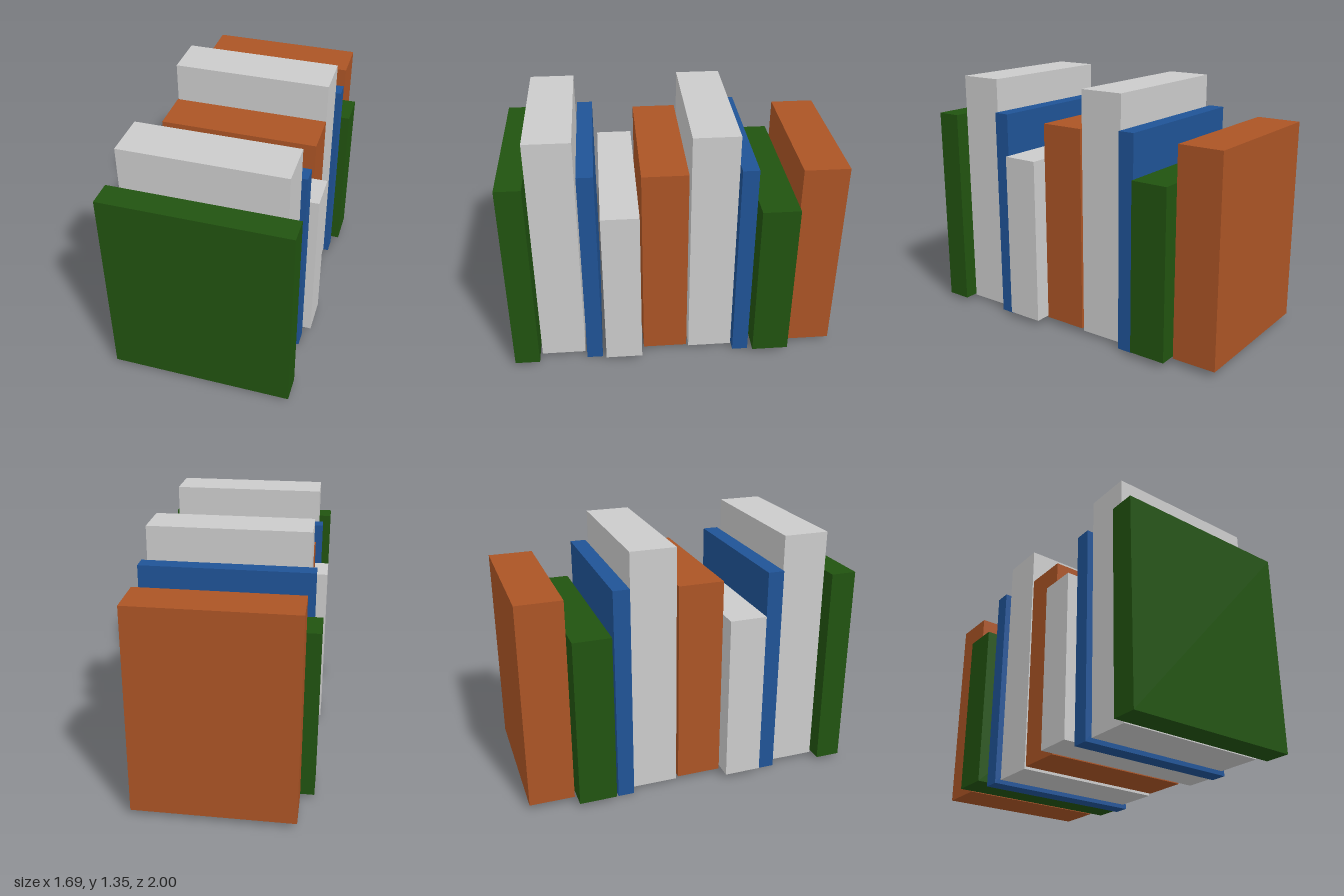
import * as THREE from 'three';

const ORANGE = 0xab5425, GREEN = 0x215310, BLUE = 0x1f5396, GREY = 0xcccccc;

// One entry per book: color, position along the row, width, thickness, bottom, top
const BOOKS = [
  [ORANGE, -0.805, 0.84, 0.24, 0.03, 1.14],
  [GREEN, -0.573, 0.985, 0.2, 0.03, 0.945],
  [BLUE, -0.409, 0.897, 0.087, 0, 1.167],
  [GREY, -0.236, 0.84, 0.242, 0.02, 1.345],
  [ORANGE, 0.018, 0.84, 0.242, 0.03, 1.14],
  [GREY, 0.253, 0.985, 0.2, 0.03, 0.945],
  [BLUE, 0.418, 0.897, 0.087, 0, 1.167],
  [GREY, 0.592, 0.84, 0.242, 0.02, 1.345],
  [GREEN, 0.793, 0.972, 0.136, 0.02, 1.13],
];

export function createModel() {
  const model = new THREE.Group();
  model.name = 'bookRow';

  // The whole row is turned about the vertical axis
  const row = new THREE.Group();
  row.name = 'books';
  row.rotation.y = THREE.MathUtils.degToRad(30.5);
  model.add(row);

  BOOKS.forEach(([color, along, width, thickness, bottom, top], i) => {
    const book = new THREE.Mesh(
      new THREE.BoxGeometry(width, top - bottom, thickness),
      new THREE.MeshStandardMaterial({ color })
    );
    book.name = `book${i + 1}`;
    book.position.set(-0.016, (bottom + top) / 2, along);
    row.add(book);
  });

  return model;
}
